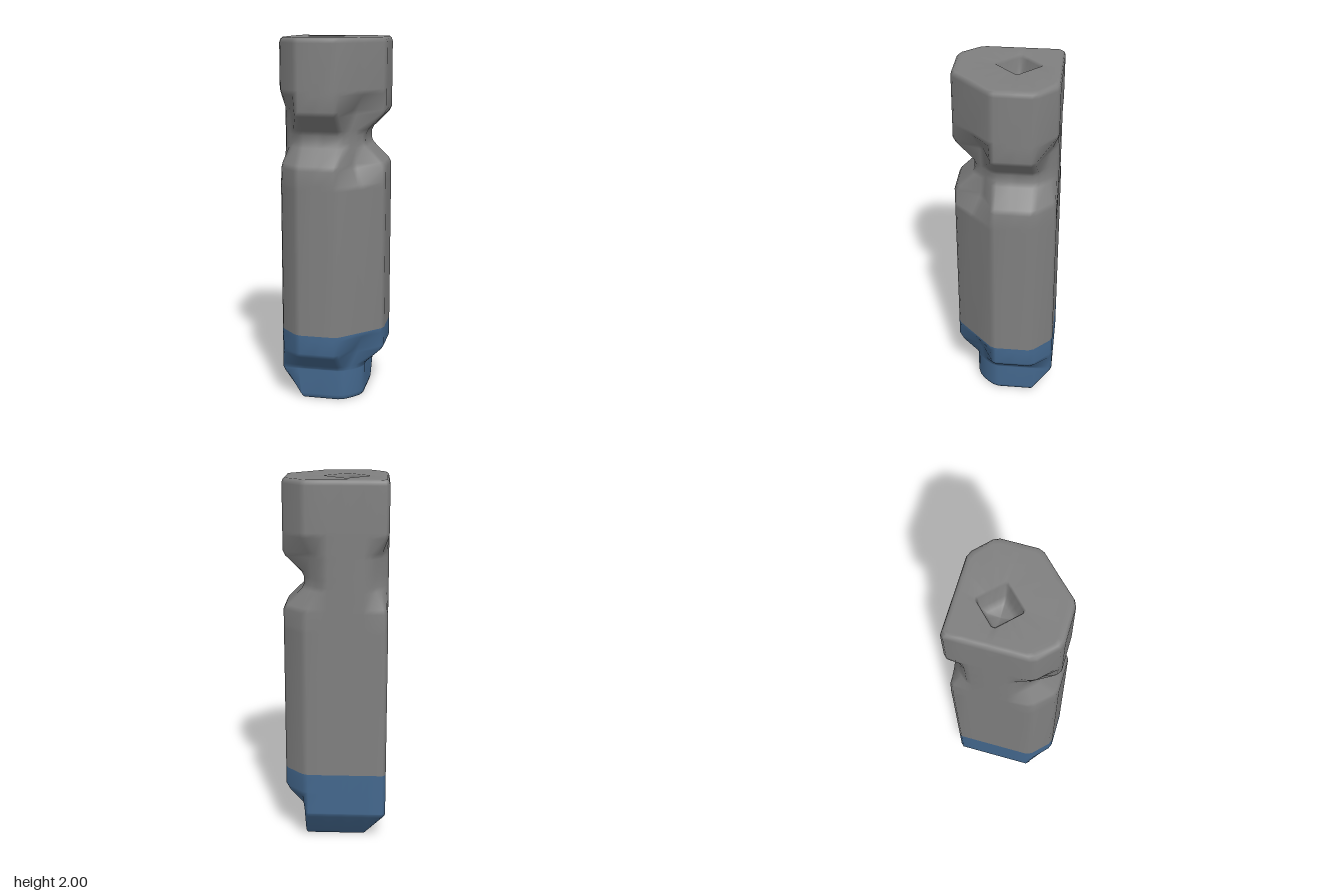
import * as THREE from 'three';

const AXIS = -0.056; // the bottle axis sits off centre, its back sides are cut flat
const ARM = 0.111;   // half width of the four flat faces

// Levels: height, face distance, front corner distance, back cut distance, other corners' distance
const LEVELS = [
  [0, 0.21, 0.165, 0.1, 0.21],
  [0.015, 0.222, 0.175, 0.113, 0.222],
  [0.165, 0.222, 0.175, 0.222, 0.222],
  [0.185, 0.222, 0.175, 0.222, 0.222],
  [0.29, 0.333, 0.182, 0.222, 0.222],
  [0.395, 0.333, 0.222, 0.222, 0.222],
  [1.22, 0.333, 0.222, 0.222, 0.222],
  [1.325, 0.333, 0.167, 0.222, 0.218],
  [1.435, 0.222, 0.167, 0.222, 0.167],
  [1.5, 0.222, 0.167, 0.222, 0.167],
  [1.61, 0.333, 0.167, 0.222, 0.172],
  [1.72, 0.333, 0.222, 0.222, 0.222],
  [1.985, 0.333, 0.222, 0.222, 0.222],
  [2, 0.318, 0.212, 0.207, 0.207],
];

const mix = (a, b, t) => a.map((v, i) => v + (b[i] - v) * t);

// Replace each inner level by two close ones, rounding the profile
function roundLevels(levels, d) {
  const out = [levels[0]];
  for (let i = 1; i < levels.length - 1; i++) {
    for (const n of [levels[i - 1], levels[i + 1]]) {
      const t = Math.min(0.35, d / Math.abs(n[0] - levels[i][0]));
      out.push(mix(levels[i], n, t));
    }
  }
  out.push(levels[levels.length - 1]);
  return out;
}

// Cross-section: four flat faces with corner points between, clipped at the back
function section([, h, front, b, other]) {
  const pts = [];
  for (let q = 0; q < 4; q++) {
    const c = q === 0 ? front : other;
    for (let [x, z] of [[h, 0], [h, ARM], [c, c], [ARM, h]]) {
      for (let k = 0; k < q; k++) [x, z] = [-z, x];
      pts.push([Math.max(x, -b), Math.max(z, -b)]);
    }
  }
  // Cut every corner slightly to round it
  const n = pts.length;
  const out = [];
  pts.forEach((p, i) => {
    for (const o of [pts[(i + n - 1) % n], pts[(i + 1) % n]]) {
      const len = Math.hypot(o[0] - p[0], o[1] - p[1]);
      out.push(mix(p, o, len > 0 ? Math.min(0.35, 0.018 / len) : 0));
    }
  });
  return out;
}

export function createModel() {
  const grey = new THREE.MeshStandardMaterial({ color: 0x808080 });
  grey.name = 'grey';
  const blue = new THREE.MeshStandardMaterial({ color: 0x44688e });
  blue.name = 'blue';

  const rings = [];
  const addRing = (y, pts) => rings.push({ y, pts });
  const levels = roundLevels(LEVELS, 0.013);
  const base = section(levels[0]);
  const top = section(levels[levels.length - 1]);
  const scaled = (pts, s) => pts.map(([x, z]) => [x * s, z * s]);
  const diamond = (r) => top.map(([x, z]) => {
    const s = r / (Math.abs(x) + Math.abs(z));
    return [x * s, z * s];
  });

  // Underside, outer wall, top face and diamond-shaped mouth
  addRing(0, scaled(base, 0));
  addRing(0, scaled(base, 0.92));
  for (const l of levels) addRing(l[0], section(l));
  addRing(2, scaled(top, 0.93));
  addRing(2, diamond(0.128));
  addRing(1.985, diamond(0.116));
  addRing(1.89, diamond(0.104));
  addRing(1.86, diamond(0.07));
  addRing(1.85, diamond(0));

  const N = base.length;
  const position = [];
  for (const { y, pts } of rings) {
    for (const [x, z] of pts) position.push(x + AXIS, y, z + AXIS);
  }
  const index = [];
  let split = 0;
  for (let r = 0; r < rings.length - 1; r++) {
    if (!split && rings[r].y >= 0.4) split = index.length;
    for (let i = 0; i < N; i++) {
      const j = (i + 1) % N;
      const a = r * N + i, b = r * N + j, c = a + N, d = b + N;
      index.push(a, c, b, b, c, d);
    }
  }
  const geometry = new THREE.BufferGeometry();
  geometry.setAttribute('position', new THREE.Float32BufferAttribute(position, 3));
  geometry.setIndex(index);
  geometry.computeVertexNormals();

  // Blue foot below, grey body, neck and cap above
  geometry.addGroup(0, split, 0);
  geometry.addGroup(split, index.length - split, 1);
  const bottle = new THREE.Mesh(geometry, [blue, grey]);
  bottle.name = 'bottleBody';

  const model = new THREE.Group();
  model.name = 'bottle';
  model.add(bottle);
  return model;
}
